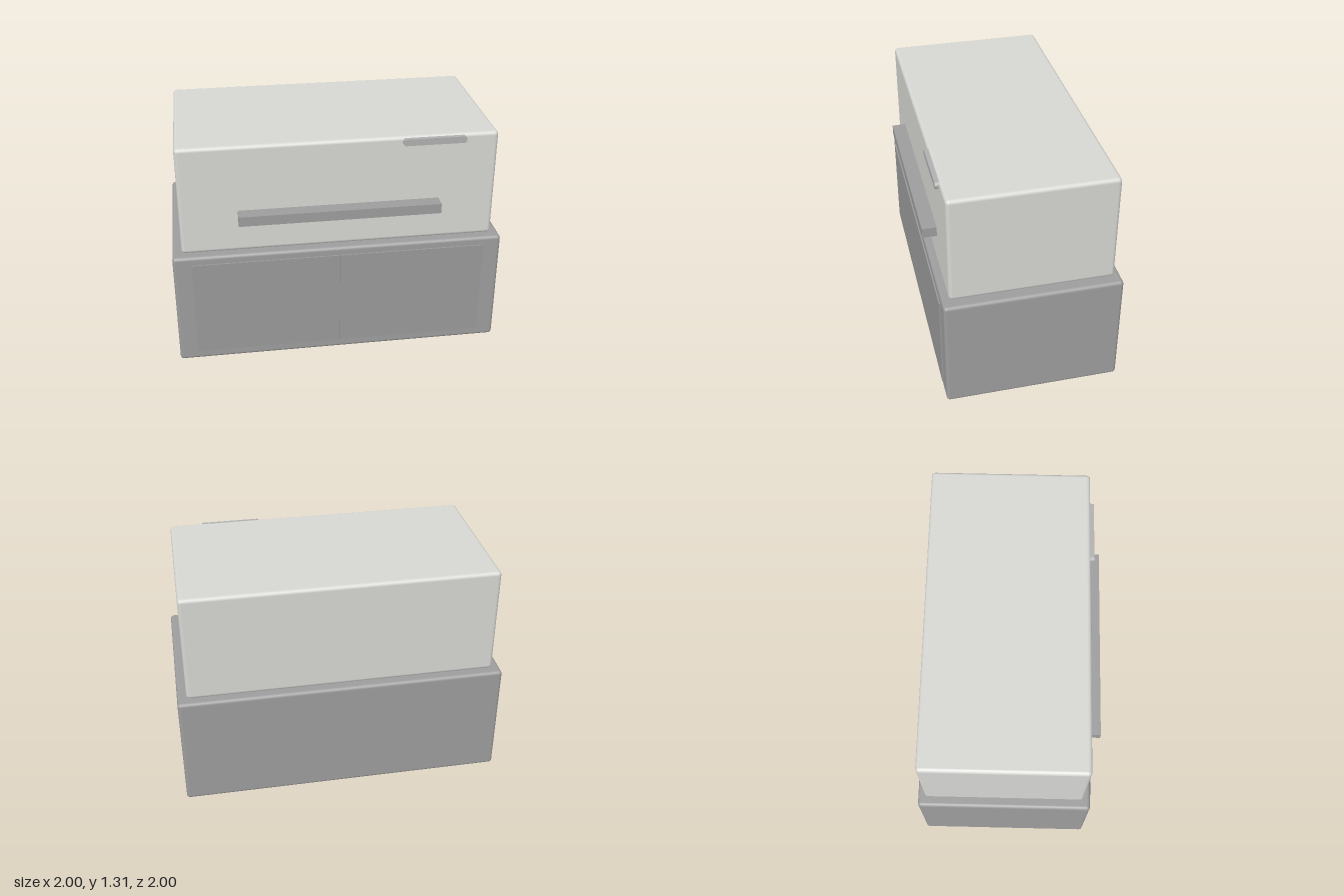
import * as THREE from 'three';
import { RoundedBoxGeometry } from 'three/addons/geometries/RoundedBoxGeometry.js';

export function createModel() {
  const root = new THREE.Group();
  root.name = 'grillCabinet';

  const mat = (name, color) => {
    const m = new THREE.MeshStandardMaterial({ color });
    m.name = name;
    return m;
  };
  const lightGrey = mat('light grey', 0xd6d6d3);
  const midGrey = mat('mid grey', 0x9d9d9d);
  const doorGrey = mat('door grey', 0x999999);
  const latchGrey = mat('latch grey', 0xb0b0b0);

  // Box given by its minimum and maximum corners; radius > 0 softens the edges
  const block = (name, material, [x0, y0, z0], [x1, y1, z1], radius = 0) => {
    const size = [x1 - x0, y1 - y0, z1 - z0];
    const geometry = radius
      ? new RoundedBoxGeometry(...size, 3, radius)
      : new THREE.BoxGeometry(...size);
    const mesh = new THREE.Mesh(geometry, material);
    mesh.name = name;
    mesh.position.set((x0 + x1) / 2, (y0 + y1) / 2, (z0 + z1) / 2);
    root.add(mesh);
  };

  // Cabinet below, lid body above
  block('cabinet', midGrey, [-0.931, 0, -0.493], [0.931, 0.677, 0.493], 0.02);
  block('lid', lightGrey, [-0.878, 0.682, -0.454], [0.878, 1.312, 0.454], 0.022);

  // Pair of doors, slightly proud of the cabinet front
  const gap = 0.001;
  block('doorRight', doorGrey, [-0.828, 0.057, 0.48], [-gap, 0.63, 0.501]);
  block('doorLeft', doorGrey, [gap, 0.057, 0.48], [0.828, 0.63, 0.501]);

  // Long bar handle
  block('handle', midGrey, [-0.559, 0.875, 0.45], [0.559, 0.932, 0.534]);

  // Small latch plate with chamfered corners
  const w = 0.176, h = 0.019, c = 0.012;
  const outline = new THREE.Shape([
    [-w + c, -h], [w - c, -h], [w, -h + c], [w, h - c],
    [w - c, h], [-w + c, h], [-w, h - c], [-w, -h + c],
  ].map(([x, y]) => new THREE.Vector2(x, y)));
  const latch = new THREE.Mesh(
    new THREE.ExtrudeGeometry(outline, { depth: 0.03, bevelEnabled: false }), latchGrey);
  latch.name = 'latch';
  latch.position.set(0.52, 1.284, 0.444);
  root.add(latch);

  // The whole piece stands diagonally
  root.rotation.y = Math.PI / 4;
  const model = new THREE.Group();
  model.name = 'model';
  model.add(root);
  return model;
}
